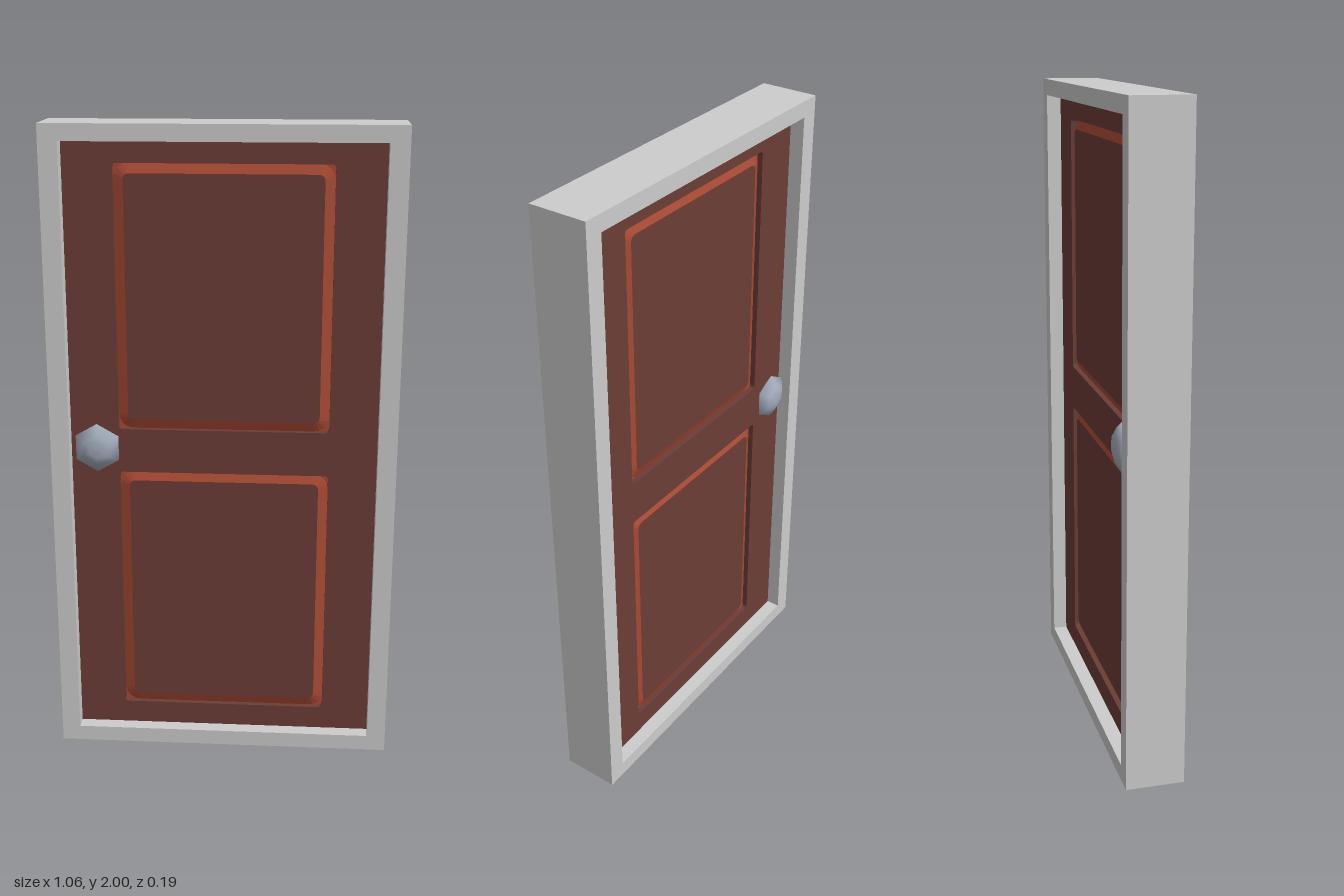
import * as THREE from 'three';

const mat = (name, color) => {
  const m = new THREE.MeshStandardMaterial({ color });
  m.name = name;
  return m;
};

// Rectangle outline with rounded corners, as a Shape or a hole Path
function roundedRect(path, w, h, r, cy = 0) {
  const x = w / 2, b = cy - h / 2, t = cy + h / 2;
  path.moveTo(-x + r, b);
  path.lineTo(x - r, b);
  path.quadraticCurveTo(x, b, x, b + r);
  path.lineTo(x, t - r);
  path.quadraticCurveTo(x, t, x - r, t);
  path.lineTo(-x + r, t);
  path.quadraticCurveTo(-x, t, -x, t - r);
  path.lineTo(-x, b + r);
  path.quadraticCurveTo(-x, b, -x + r, b);
  return path;
}

function rect(path, x, b, t) {
  path.moveTo(-x, b);
  path.lineTo(x, b);
  path.lineTo(x, t);
  path.lineTo(-x, t);
  path.closePath();
  return path;
}

// Extrusion centred on z = 0
function slab(shape, depth, extra = { bevelEnabled: false }) {
  return new THREE.ExtrudeGeometry(shape, { depth, curveSegments: 4, ...extra }).translate(0, 0, -depth / 2);
}

export function createModel() {
  const frameGrey = mat('frame grey', 0xcccccc);
  const doorBrown = mat('door brown', 0x6b3d36);
  const trimOrange = mat('trim orange', 0xa94a33);
  const knobSilver = mat('knob silver', 0xa3adbc);

  const group = new THREE.Group();
  group.name = 'door';
  group.position.z = -0.0025;
  const add = (name, geometry, material) => {
    const mesh = new THREE.Mesh(geometry, material);
    mesh.name = name;
    group.add(mesh);
    return mesh;
  };

  // Frame around all four sides
  const frame = rect(new THREE.Shape(), 0.532, 0, 2);
  frame.holes.push(rect(new THREE.Path(), 0.474, 0.05, 1.95));
  add('doorFrame', slab(frame, 0.18), frameGrey);

  // Door leaf with two openings for the panels
  const panels = [
    { name: 'lowerPanel', y: 0.53, h: 0.81 },
    { name: 'upperPanel', y: 1.48, h: 0.81 },
  ];
  const width = 0.65, bevel = 0.03, faceZ = 0.045;
  const leaf = rect(new THREE.Shape(), 0.474, 0.05, 1.95);
  for (const p of panels) leaf.holes.push(roundedRect(new THREE.Path(), width, p.h, 0.012, p.y));
  add('doorLeaf', slab(leaf, faceZ * 2), doorBrown);

  // Raised panels: brown faces, orange sloping edges, set in a groove
  for (const p of panels) {
    const face = roundedRect(new THREE.Shape(), width - 2 * bevel, p.h - 2 * bevel, 0.02);
    const geometry = slab(face, 0.056, {
      bevelEnabled: true, bevelThickness: 0.012, bevelSize: bevel, bevelSegments: 1,
    });
    add(p.name, geometry, [doorBrown, trimOrange]).position.y = p.y;
    // Groove floor behind the rounded corners
    add(p.name + 'Groove', new THREE.BoxGeometry(width, p.h, 0.055), trimOrange).position.y = p.y;
  }

  // Six-sided knob on both faces
  const profile = [[0.03, -0.005], [0.045, 0.004], [0.077, 0.022], [0.044, 0.043], [0.025, 0.048], [0, 0.0495]]
    .map(([r, y]) => new THREE.Vector2(r, y));
  for (const side of [1, -1]) {
    const knob = add(side > 0 ? 'frontKnob' : 'backKnob', new THREE.LatheGeometry(profile, 6), knobSilver);
    knob.rotation.x = side * Math.PI / 2;
    knob.position.set(-0.39, 1.02, side * faceZ);
  }

  return group;
}
